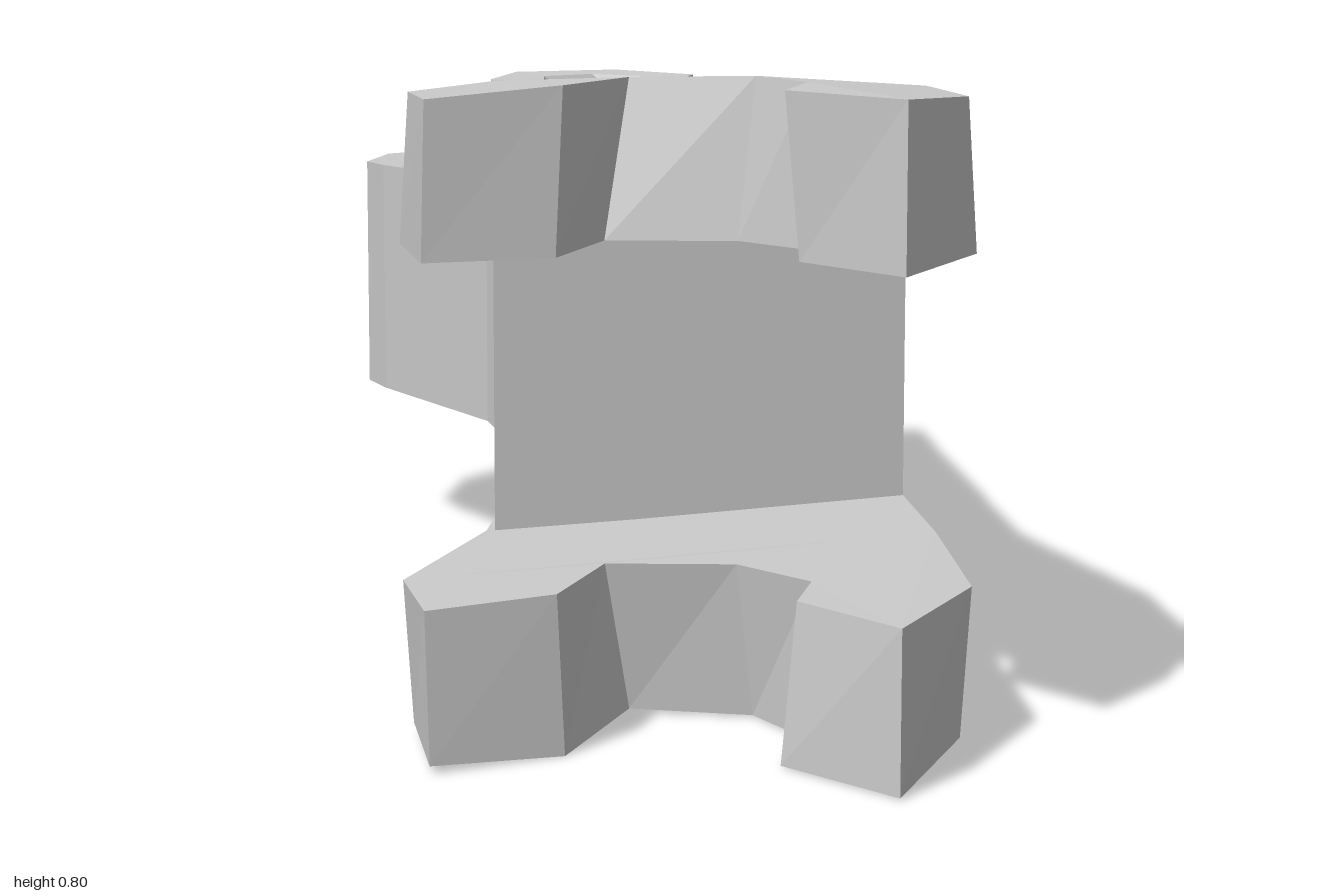
import * as THREE from 'three';

const material = new THREE.MeshStandardMaterial({ color: 0xcccccc, flatShading: true });
const MID = 0.4; // height of the mirror plane between the two forks

// Closed solid between two outlines of [x, y, z] points with matching corners
function slab(name, lower, upper) {
  const flat = (ring) => ring.map(([x, , z]) => new THREE.Vector2(x, z));
  if (THREE.ShapeUtils.area(flat(lower)) < 0) {
    lower = [...lower].reverse();
    upper = [...upper].reverse();
  }
  const n = lower.length;
  const index = [];
  for (const [a, b, c] of THREE.ShapeUtils.triangulateShape(flat(lower), [])) index.push(a, b, c);
  for (const [a, b, c] of THREE.ShapeUtils.triangulateShape(flat(upper), [])) index.push(n + a, n + c, n + b);
  for (let i = 0; i < n; i++) {
    const j = (i + 1) % n;
    index.push(i, n + i, j, j, n + i, n + j);
  }
  const geometry = new THREE.BufferGeometry();
  geometry.setAttribute('position', new THREE.Float32BufferAttribute([...lower, ...upper].flat(), 3));
  geometry.setIndex(index);
  const solid = geometry.toNonIndexed();
  solid.computeVertexNormals();
  const mesh = new THREE.Mesh(solid, material);
  mesh.name = name;
  return mesh;
}

// Slab for the upper fork, or its mirror image for the lower fork
function forkSlab(name, lower, upper, mirrored) {
  if (!mirrored) return slab(name, lower, upper);
  const flip = (ring) => ring.map(([x, y, z]) => [x, 2 * MID - y, z]);
  return slab(name, flip(upper), flip(lower));
}

function createFork(mirrored) {
  const fork = new THREE.Group();
  fork.name = mirrored ? 'lowerFork' : 'upperFork';
  // ramp rising from the arm
  fork.add(forkSlab('forkRamp',
    [[0.32, 0.58, -0.05], [0.32, 0.597, 0.5], [-0.25, 0.597, 0.42], [-0.15, 0.58, 0]],
    [[0.32, 0.59, -0.05], [0.3, 0.775, 0.5], [-0.235, 0.78, 0.42], [-0.15, 0.592, 0]], mirrored));
  // open jaw with two tines
  fork.add(forkSlab('forkJaw',
    [[0.32, 0.597, 0.5], [0.3, 0.6, 0.8], [0.175, 0.6, 1], [0.08, 0.6, 0.85], [0.115, 0.6, 0.75],
      [0.04, 0.6, 0.645], [-0.12, 0.6, 0.62], [-0.195, 0.6, 0.78], [-0.355, 0.603, 0.835],
      [-0.37, 0.605, 0.66], [-0.25, 0.597, 0.42]],
    [[0.3, 0.775, 0.5], [0.288, 0.785, 0.8], [0.175, 0.798, 1], [0.062, 0.798, 0.85], [0.11, 0.798, 0.73],
      [0.065, 0.798, 0.62], [-0.085, 0.795, 0.58], [-0.185, 0.8, 0.77], [-0.35, 0.79, 0.83],
      [-0.358, 0.785, 0.65], [-0.235, 0.78, 0.42]], mirrored));
  return fork;
}

// Six-sided nut with slanted facets, a socket and a centre pin
function createNut(name, radius) {
  const profile = [[radius, -0.03], [radius, 0.118], [0.09, 0.116], [0.075, 0.05], [0.055, 0.05], [0.05, 0.105], [0, 0.105]];
  const twist = [0, 0.52, 0.75, 0.4, 0.1, 0.5, 0];
  const lathe = new THREE.LatheGeometry(profile.map(([x, y]) => new THREE.Vector2(x, y)), 6);
  const pos = lathe.attributes.position;
  for (let i = 0; i < pos.count; i++) {
    const p = new THREE.Vector3().fromBufferAttribute(pos, i);
    p.applyAxisAngle(new THREE.Vector3(0, 1, 0), twist[i % profile.length] + 0.2);
    pos.setXYZ(i, p.x, p.y, p.z);
  }
  const geometry = lathe.toNonIndexed();
  geometry.computeVertexNormals();
  const nut = new THREE.Mesh(geometry, material);
  nut.name = name;
  return nut;
}

export function createModel() {
  const model = new THREE.Group();
  model.name = 'forkedArm';

  // arm: rounded outer corner at the back, waist, slanted front wall
  const outline = [[0.367, -0.99], [-0.065, -1], [-0.17, -0.955], [-0.31, -0.83], [-0.352, -0.66], [-0.33, -0.58],
    [-0.195, -0.26], [-0.15, 0], [-0.24, 0.43], [0.32, 0.29], [0.32, -0.04]];
  const top = (z) => 0.566 + 0.025 * Math.min(1, z + 1);
  const bottom = (z) => (z < -0.2 ? 0.225 : 0.205);
  model.add(slab('arm',
    outline.map(([x, z]) => [x, bottom(z), z]),
    outline.map(([x, z]) => [x, top(z), z])));

  model.add(createFork(false), createFork(true));

  // pivot nuts above and below the arm
  const topNut = createNut('topNut', 0.168);
  topNut.position.set(0.007, 0.587, -0.66);
  const bottomNut = createNut('bottomNut', 0.155);
  bottomNut.position.set(0.007, 0.203, -0.66);
  bottomNut.rotation.x = Math.PI;
  model.add(topNut, bottomNut);
  return model;
}
